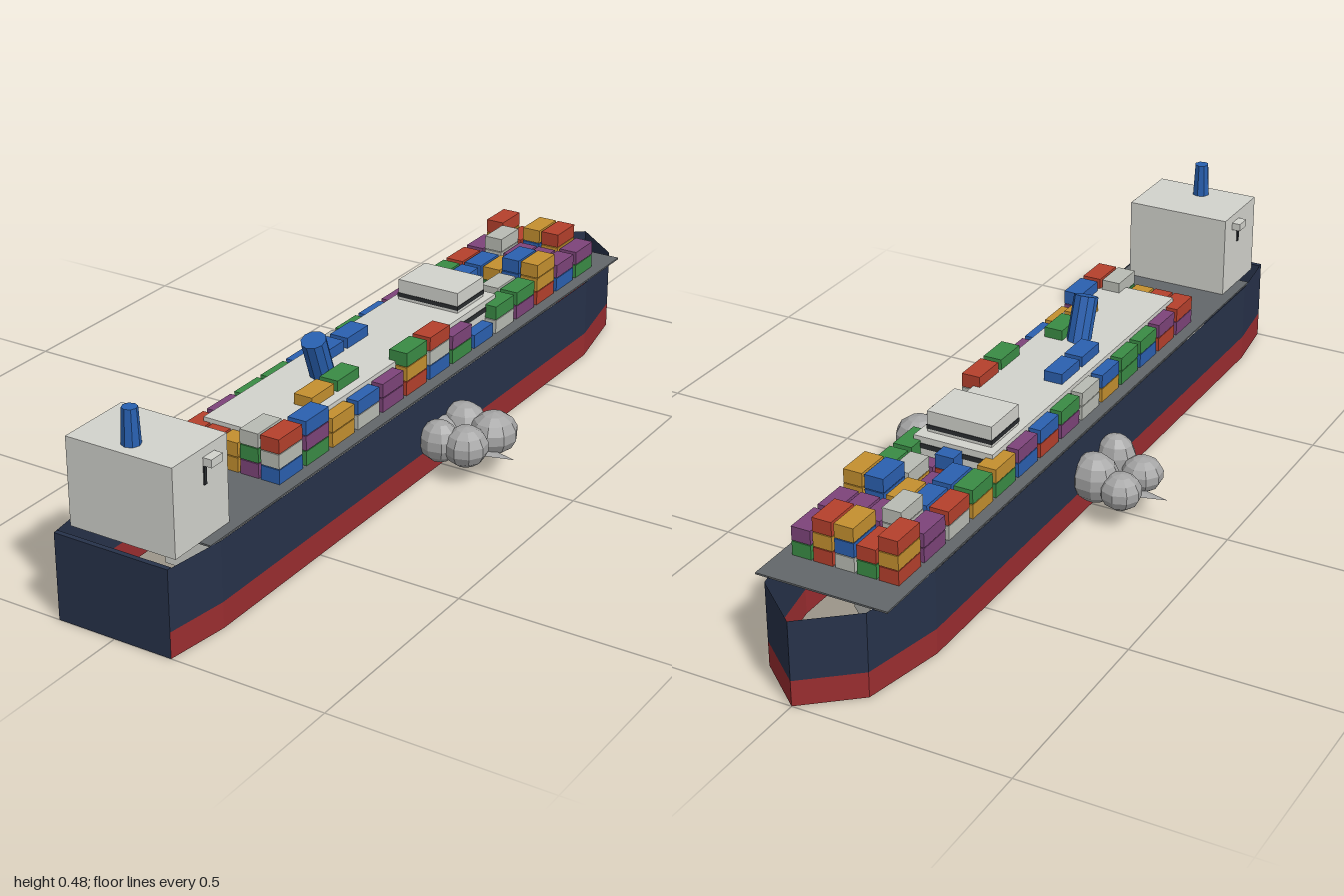
import * as THREE from 'three';

const PAINT = {
  navy: 0x27324a, bootRed: 0x9a2d30, deck: 0x63676a, white: 0xd2d3cd, blue: 0x2860b0,
  dark: 0x2a2d30, rock: 0xa6a6a6,
  r: 0xb5402c, b: 0x2b60b0, g: 0x3a8c45, y: 0xc4902f, w: 0xb9bcb4, p: 0x7d447a,
};
const mats = {};
function mat(name) {
  mats[name] ??= new THREE.MeshStandardMaterial({
    color: PAINT[name], flatShading: true, side: THREE.DoubleSide,
  });
  return mats[name];
}

function add(group, name, geometry, paint, x = 0, y = 0, z = 0) {
  const mesh = new THREE.Mesh(geometry, mat(paint));
  mesh.name = name;
  mesh.position.set(x, y, z);
  group.add(mesh);
  return mesh;
}

// Box given by its centre in x and z and its bottom in y
function box(group, name, paint, [w, h, d], [x, y, z]) {
  return add(group, name, new THREE.BoxGeometry(w, h, d), paint, x, y + h / 2, z);
}

// Open vertical wall that follows a plan outline of [x, z] points
function wall(outline, y0, y1) {
  const pos = [];
  for (let i = 0; i < outline.length - 1; i++) {
    const [ax, az] = outline[i], [bx, bz] = outline[i + 1];
    pos.push(ax, y0, az, bx, y0, bz, bx, y1, bz, ax, y0, az, bx, y1, bz, ax, y1, az);
  }
  const geometry = new THREE.BufferGeometry();
  geometry.setAttribute('position', new THREE.Float32BufferAttribute(pos, 3));
  geometry.computeVertexNormals();
  return geometry;
}

// Plan of the hull side, from the stern round the pointed bow
const half = [[0.14, 1], [0.16, 0.85], [0.16, -0.7], [0.12, -0.9]];
const plan = [...half, [0, -1], ...half.map(([x, z]) => [-x, z]).reverse()];

// Shell without bottom: lower band, upper band, stern plate and deck
function makeHull(name, lower, upper, stern) {
  const hull = new THREE.Group();
  hull.name = name;
  add(hull, 'lowerHull', wall(plan, 0, 0.06), lower);
  add(hull, 'upperHull', wall(plan, 0.06, 0.2), upper);
  box(hull, 'sternPlate', stern, [0.28, 0.2, 0.012], [0, 0, 0.994]);
  box(hull, 'deck', 'deck', [0.312, 0.004, 1.76], [0, 0.197, 0]);
  return hull;
}

// One row of container stacks per entry: top colours and heights from -x to +x
const CARGO = [
  ['rryrp', '32332'], ['pwppp', '23222'], ['rbyby', '22233'], ['gbpwg', '22122'],
  ['ybbpg', '21212'], ['pgrbb', '21111'], ['bgyrp', '21112'], ['gprbr', '21113'],
  ['wbgrg', '23113'], ['bbgyp', '23112'], ['grbgb', '21132'], ['gbpyy', '21132'],
  ['pgrwb', '21113'], ['rrywr', '22233'],
];
function makeCargo() {
  const cargo = new THREE.Group();
  cargo.name = 'containers';
  const shades = 'rbgywp';
  const geometry = new THREE.BoxGeometry(0.046, 0.033, 0.086);
  CARGO.forEach(([tops, heights], row) => {
    for (let col = 0; col < 5; col++) {
      const count = Number(heights[col]);
      for (let level = 0; level < count; level++) {
        const shade = level === count - 1
          ? tops[col] : shades[(row * 5 + col * 2 + level * 3) % 6];
        add(cargo, 'container', geometry, shade,
          -0.104 + col * 0.052, 0.2185 + level * 0.035, -0.745 + row * 0.1);
      }
    }
  });
  return cargo;
}

// Bridge tower at the stern, with wings and funnel
function makeTower() {
  const tower = new THREE.Group();
  tower.name = 'bridgeTower';
  box(tower, 'towerBlock', 'white', [0.26, 0.2, 0.18], [0, 0.2, 0.87]);
  for (const side of [-1, 1]) {
    box(tower, 'bridgeWing', 'white', [0.022, 0.018, 0.038], [side * 0.14, 0.362, 0.842]);
    box(tower, 'wingPost', 'dark', [0.004, 0.042, 0.008], [side * 0.131, 0.32, 0.857]);
  }
  add(tower, 'towerFunnel', new THREE.CylinderGeometry(0.017, 0.021, 0.08, 8), 'blue', 0, 0.44, 0.917);
  return tower;
}

// Smaller white vessel set inside the big hull
function makeInnerShip() {
  const ship = new THREE.Group();
  ship.name = 'innerShip';
  const hull = makeHull('innerHull', 'white', 'white', 'white');
  hull.scale.setScalar(0.7);
  ship.add(hull);
  for (const side of [-1, 1]) {
    box(ship, 'hullStripe', 'blue', [0.006, 0.014, 1.17], [side * 0.111, 0.06, 0.06]);
  }
  box(ship, 'cabinBlock', 'white', [0.196, 0.14, 0.9], [0, 0.14, 0.1]);
  box(ship, 'cabinWindows', 'dark', [0.199, 0.012, 0.903], [0, 0.252, 0.1]);
  box(ship, 'innerBridge', 'white', [0.16, 0.05, 0.12], [0, 0.28, -0.262]);
  box(ship, 'bridgeWindows', 'dark', [0.163, 0.01, 0.123], [0, 0.287, -0.262]);
  const funnel = add(ship, 'leaningFunnel',
    new THREE.CylinderGeometry(0.029, 0.029, 0.12, 10), 'blue', 0, 0.32, 0.257);
  funnel.rotation.x = 0.35;
  return ship;
}

// Faceted boulders beside and beneath the hull: centre and radii
const ROCKS = [
  [0.27, 0.09, -0.045, 0.056, 0.05, 0.058], [0.25, 0.088, 0.045, 0.052, 0.048, 0.052],
  [0.19, 0.092, 0.06, 0.05, 0.05, 0.042], [0.19, 0.09, -0.05, 0.06, 0.052, 0.05],
  [-0.26, 0.088, -0.055, 0.05, 0.044, 0.048], [-0.265, 0.085, 0.045, 0.05, 0.042, 0.05],
  [-0.19, 0.1, 0.06, 0.05, 0.06, 0.042], [-0.19, 0.1, -0.045, 0.06, 0.06, 0.05],
  [-0.06, 0.085, 0.01, 0.14, 0.045, 0.07], [0.1, 0.085, 0, 0.11, 0.045, 0.07],
];
function makeRocks() {
  const rocks = new THREE.Group();
  rocks.name = 'rocks';
  ROCKS.forEach(([x, y, z, rx, ry, rz], i) => {
    const rock = add(rocks, 'boulder', new THREE.SphereGeometry(1, 9, 7), 'rock', x, y, z);
    rock.scale.set(rx, ry, rz);
    rock.rotation.y = i * 0.9 % 0.5 - 0.25;
  });
  // Flat pointed slab running out on both sides
  const slab = add(rocks, 'pointedSlab', new THREE.OctahedronGeometry(1), 'rock', 0, 0.06, 0);
  slab.scale.set(0.35, 0.018, 0.1);
  return rocks;
}

export function createModel() {
  const model = new THREE.Group();
  model.name = 'cargoShip';
  model.add(makeHull('outerHull', 'bootRed', 'navy', 'navy'));
  model.add(makeCargo(), makeTower(), makeInnerShip(), makeRocks());
  return model;
}
